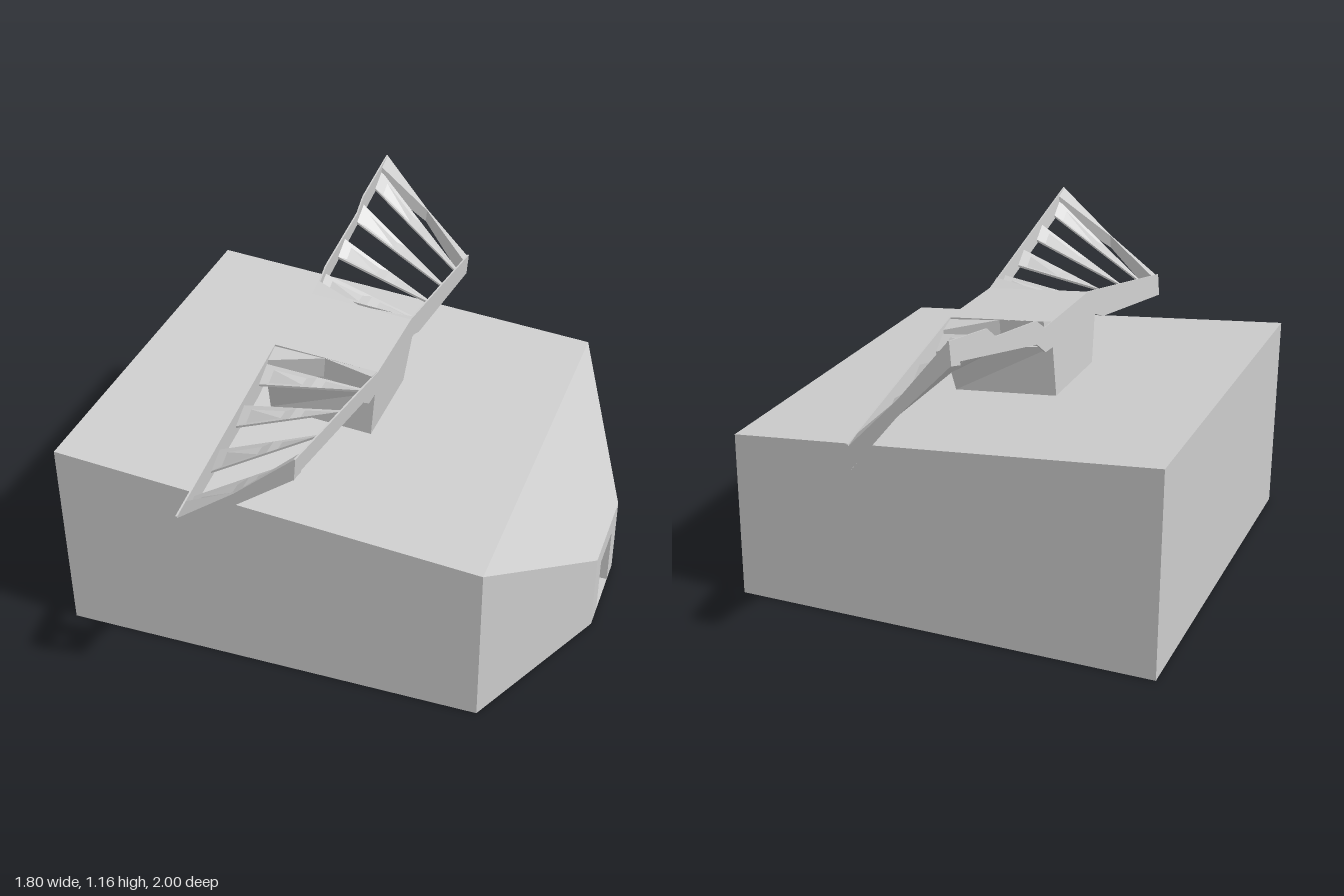
import * as THREE from 'three';

const mat = new THREE.MeshStandardMaterial({ color: 0xcccccc, flatShading: true, side: THREE.DoubleSide });

function addMesh(parent, name, geometry) {
  const mesh = new THREE.Mesh(geometry, mat);
  mesh.name = name;
  parent.add(mesh);
  return mesh;
}

// Flat polygons, corners counter-clockwise from outside, cut into fans
function polygons(faces) {
  const pos = [];
  for (const f of faces)
    for (let i = 1; i < f.length - 1; i++) pos.push(...f[0], ...f[i], ...f[i + 1]);
  const g = new THREE.BufferGeometry();
  g.setAttribute('position', new THREE.Float32BufferAttribute(pos, 3));
  g.computeVertexNormals();
  return g;
}

// Loft along x: each section is { x, z0, z1, y0, y1, t }, t being the thickness
function loft(sections) {
  const rings = sections.map(({ x, z0, z1, y0, y1, t }) => [
    [x, y0 - t / 2, z0], [x, y1 - t / 2, z1], [x, y1 + t / 2, z1], [x, y0 + t / 2, z0],
  ]);
  const faces = [rings[0], [...rings[rings.length - 1]].reverse()];
  for (let i = 0; i < rings.length - 1; i++)
    for (let k = 0; k < 4; k++) {
      const n = (k + 1) % 4;
      faces.push([rings[i][k], rings[i + 1][k], rings[i + 1][n], rings[i][n]]);
    }
  return polygons(faces);
}

// Wedge building with a sloping roof and a tapered nose
function building() {
  const g = new THREE.Group();
  g.name = 'building';
  const X = [-0.9, 0.63, 0.9], Y = [0.745, 0.61, 0.3], Z = [0.75, 0.75, 0.175];
  const p = (i, top, side) => [X[i], top ? Y[i] : 0, side * Z[i]];
  const faces = [
    [p(0, 0, -1), p(0, 0, 1), p(0, 1, 1), p(0, 1, -1)],
    [p(0, 0, -1), p(1, 0, -1), p(2, 0, -1), p(2, 0, 1), p(1, 0, 1), p(0, 0, 1)],
  ];
  for (let i = 0; i < 2; i++) {
    faces.push([p(i, 1, 1), p(i + 1, 1, 1), p(i + 1, 1, -1), p(i, 1, -1)]);
    faces.push([p(i, 0, 1), p(i + 1, 0, 1), p(i + 1, 1, 1), p(i, 1, 1)]);
    faces.push([p(i, 1, -1), p(i + 1, 1, -1), p(i + 1, 0, -1), p(i, 0, -1)]);
  }
  addMesh(g, 'walls and roof', polygons(faces));

  // Nose wall around the door, and the door recess
  const w = 0.175, h = 0.3, d = 0.09, dh = 0.225, a = 0.9, b = 0.84;
  const wall = new THREE.Shape([[-w, 0], [-d, 0], [-d, dh], [d, dh], [d, 0], [w, 0], [w, h], [-w, h]]
    .map(c => new THREE.Vector2(...c)));
  const nose = addMesh(g, 'nose wall', new THREE.ShapeGeometry(wall));
  nose.rotation.y = Math.PI / 2;
  nose.position.x = a;
  addMesh(g, 'door recess', polygons([
    [[b, 0, d], [b, 0, -d], [b, dh, -d], [b, dh, d]],
    [[a, 0, d], [b, 0, d], [b, dh, d], [a, dh, d]],
    [[b, 0, -d], [a, 0, -d], [a, dh, -d], [b, dh, -d]],
    [[b, dh, d], [b, dh, -d], [a, dh, -d], [a, dh, d]],
  ]));
  return g;
}

// Twisted two-winged frame; each half is the other turned by 180 degrees
function rooftopFrame() {
  const g = new THREE.Group();
  g.name = 'rooftopFrame';
  const W = 0.192, R = 0.185;

  // Pedestal flares on one diagonal as it rises
  const base = new THREE.BoxGeometry(2 * W, 0.18, 2 * R);
  const v = base.attributes.position;
  for (let i = 0; i < v.count; i++)
    if (v.getY(i) > 0 && v.getX(i) * v.getZ(i) < 0) v.setZ(i, Math.sign(v.getZ(i)) * 0.25);
  base.translate(0, 0.09, 0);
  base.computeVertexNormals();
  addMesh(g, 'pedestal', base);
  addMesh(g, 'platform', new THREE.BoxGeometry(2 * W, 0.09, 2 * R).translate(0, 0.225, 0));

  // Side rail outlines as [z, y]: rising to one end, falling to the other
  const low = [[-0.185, 0.27], [-1, 0.105], [-1, 0.018], [-0.32, 0.135], [-0.25, 0.165],
    [0.185, 0.18], [0.26, 0.185], [0.33, 0.235], [0.93, 0.378], [1, 0.385], [1, 0.464]];
  const plainTop = [[0.185, 0.27]];
  const steppedTop = [[0.72, 0.415], [0.66, 0.37], [0.32, 0.315], [0.25, 0.27]];

  [[0, plainTop], [Math.PI, steppedTop]].forEach(([turn, top]) => {
    const half = new THREE.Group();
    half.name = 'wing';
    half.rotation.y = turn;
    g.add(half);

    const outline = new THREE.Shape([...low, ...top].map(([z, y]) => new THREE.Vector2(-z, y)));
    const rail = addMesh(half, 'side rail',
      new THREE.ExtrudeGeometry(outline, { depth: 0.006, bevelEnabled: false }));
    rail.rotation.y = Math.PI / 2;
    rail.position.x = W - 0.003;

    // Rungs, tilted opposite ways at the two rails
    const rise = z => 0.235 * (z - 0.185);
    for (const z of [0.29, 0.49, 0.695, 0.9]) {
      const section = s => ({ x: s * W, z0: z - 0.034, z1: z + 0.034, t: 0.008,
        y0: 0.23 + s * (rise(z) - 0.022), y1: 0.23 + s * (rise(z) + 0.022) });
      addMesh(half, 'rung', loft([-1, 0, 1].map(section)));
    }

    // End bar narrowing to an edge in the middle
    addMesh(half, 'end bar', loft([-1, 0, 1].map(s => ({ x: s * W, z0: s ? 0.93 : 0.992, z1: 1,
      y0: 0.24 + s * 0.165, y1: 0.24 + s * 0.184, t: s ? 0.08 : 0.05 }))));

    // Gussets from the platform edge to the rails
    addMesh(half, 'gusset', loft([-1, 0, 1].map(s => ({ x: s * W, z0: 0.18, z1: s ? 0.25 : 0.186,
      y0: 0.23, y1: 0.23 + s * 0.022, t: s < 0 ? 0.07 : 0.078 }))));
  });

  // Stand square on the sloping roof
  g.rotation.z = -Math.atan(0.135 / 1.53);
  g.position.set(-0.14, 0.678, 0);
  return g;
}

export function createModel() {
  const model = new THREE.Group();
  model.name = 'bunker';
  model.add(building(), rooftopFrame());
  return model;
}
